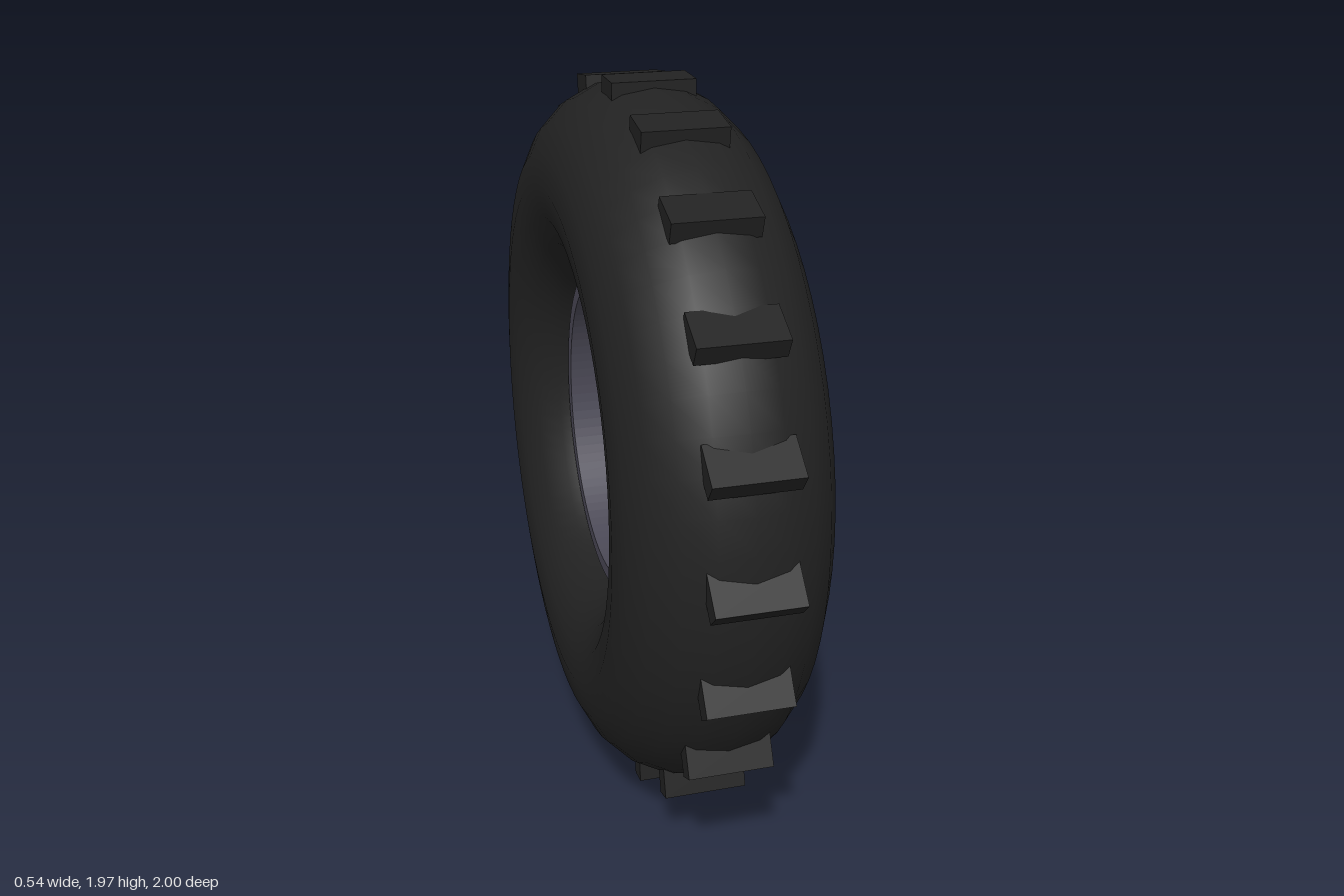
import * as THREE from 'three';

const CENTER_Y = 0.9975;

export function createModel() {
  const model = new THREE.Group();
  model.name = 'tyre';
  const rubber = new THREE.MeshStandardMaterial({ color: 0x222222 });
  rubber.name = 'black rubber';
  const metal = new THREE.MeshStandardMaterial({ color: 0x4a4855 });
  metal.name = 'grey metal';

  // Round tyre body, axle along x
  const body = new THREE.Mesh(new THREE.TorusGeometry(0.685, 0.27, 20, 64), rubber);
  body.name = 'tyreBody';
  body.rotation.y = Math.PI / 2;
  body.position.y = CENTER_Y;
  model.add(body);

  // Rim: a short thick-walled tube lining the hole
  const ring = new THREE.Shape().absarc(0, 0, 0.439, 0, Math.PI * 2);
  ring.holes.push(new THREE.Path().absarc(0, 0, 0.401, 0, Math.PI * 2, true));
  const rimGeometry = new THREE.ExtrudeGeometry(ring, { depth: 0.27, bevelEnabled: false, curveSegments: 48 });
  rimGeometry.translate(0, 0, -0.135).rotateY(Math.PI / 2);
  const rim = new THREE.Mesh(rimGeometry, metal);
  rim.name = 'rim';
  rim.position.y = CENTER_Y;
  model.add(rim);

  // Tread blocks, each turned by half of its angle round the tyre
  const treads = new THREE.Group();
  treads.name = 'treadBlocks';
  const blockGeometry = new THREE.BoxGeometry(0.22, 0.055, 0.11);
  const count = 20;
  for (let i = 0; i < count; i++) {
    const angle = (i / count) * Math.PI * 2;
    const block = new THREE.Mesh(blockGeometry, rubber);
    block.name = 'treadBlock';
    block.position.set(0, CENTER_Y + 0.9425 * Math.cos(angle), 0.9425 * Math.sin(angle));
    block.rotation.x = angle / 2;
    treads.add(block);
  }
  model.add(treads);
  return model;
}
